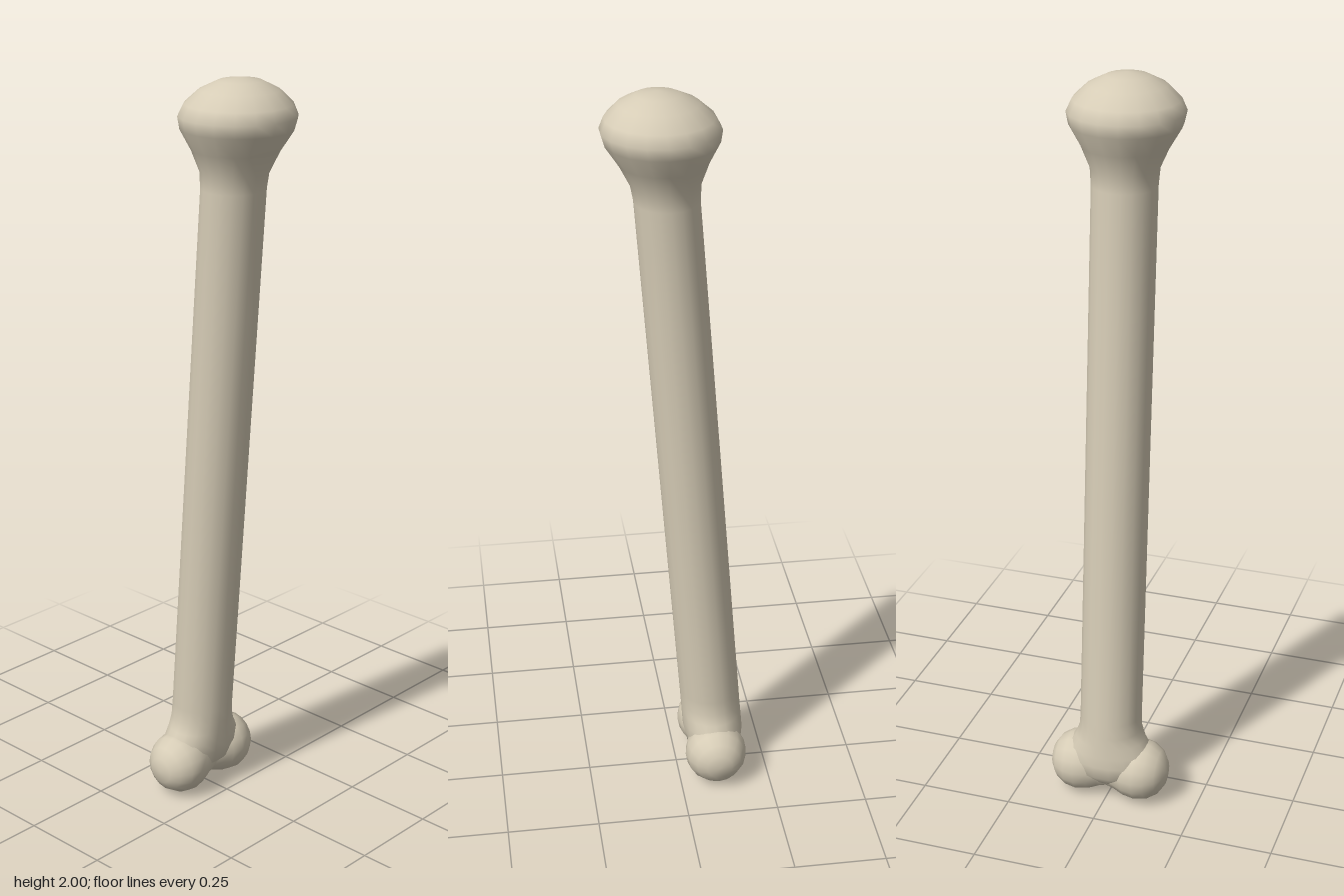
import * as THREE from 'three';
import { mergeVertices } from 'three/addons/utils/BufferGeometryUtils.js';

const bone = new THREE.MeshStandardMaterial({ name: 'bone', color: 0xd6ccb6 });

// Lean of the bone: x of the centre line at height y
const centreX = (y) => -0.113 + 0.079 * y;

// Turned form from [radius, height] pairs, reshaped by a vertex rule, smooth all round
function turned(name, profile, sides, rule) {
  const geo = new THREE.LatheGeometry(profile.map(([r, y]) => new THREE.Vector2(r, y)), sides);
  geo.deleteAttribute('uv');
  geo.deleteAttribute('normal');
  const pos = geo.attributes.position;
  const v = new THREE.Vector3();
  for (let i = 0; i < pos.count; i++) {
    rule(v.fromBufferAttribute(pos, i));
    pos.setXYZ(i, v.x, v.y, v.z);
  }
  const smooth = mergeVertices(geo, 1e-4);
  smooth.computeVertexNormals();
  const mesh = new THREE.Mesh(smooth, bone);
  mesh.name = name;
  return mesh;
}

export function createModel() {
  const group = new THREE.Group();
  group.name = 'bone';

  // Leaning shaft, flared in z at the foot, with a domed head on top
  group.add(turned('shaftAndHead', [
    [0, 0.045], [0.05, 0.055], [0.078, 0.085], [0.083, 0.12], [0.083, 0.15], [0.083, 0.18],
    [0.083, 0.21], [0.083, 0.25], [0.083, 0.6], [0.083, 1], [0.083, 1.4], [0.083, 1.72],
    [0.088, 1.765], [0.112, 1.82], [0.143, 1.873], [0.15, 1.905], [0.136, 1.935],
    [0.1, 1.969], [0.055, 1.991], [0, 2],
  ], 18, (v) => {
    const t = THREE.MathUtils.clamp((0.23 - v.y) / 0.09, 0, 1);
    if (v.y < 1.75) v.z *= 1.02 + 0.5 * t * t;
    v.x += centreX(v.y);
  }));

  // Pair of rounded knuckles at the foot, joined by a waist, lying along z
  group.add(turned('knuckles', [
    [0, -0.165], [0.036, -0.16], [0.062, -0.143], [0.08, -0.115], [0.086, -0.085],
    [0.08, -0.052], [0.068, -0.024], [0.062, 0], [0.068, 0.024], [0.08, 0.052],
    [0.086, 0.085], [0.08, 0.115], [0.062, 0.143], [0.036, 0.16], [0, 0.165],
  ], 16, (v) => v.set(v.x - 0.101, 0.086 - v.z, v.y)));

  return group;
}
